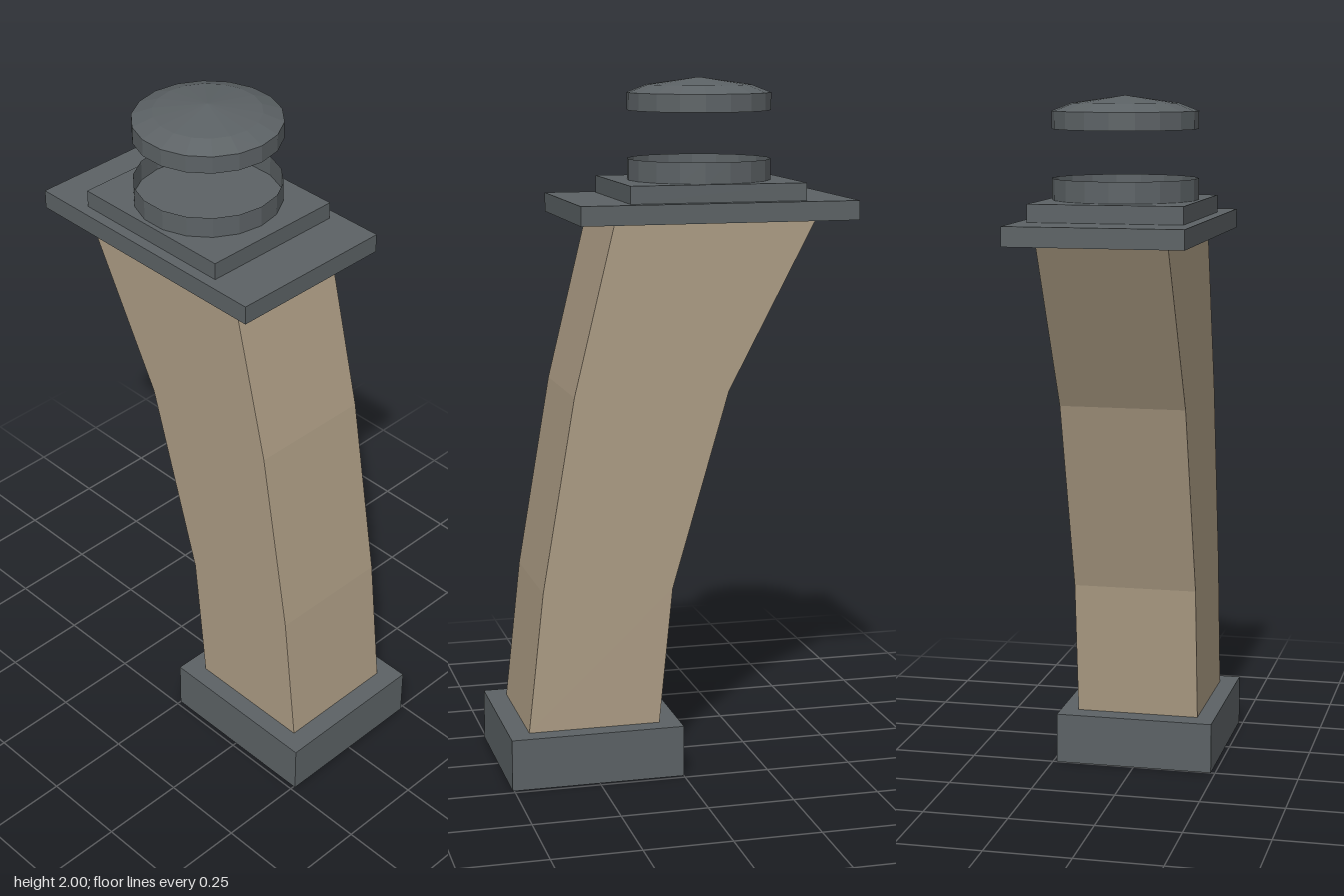
import * as THREE from 'three';

export function createModel() {
  const group = new THREE.Group();
  const metal = new THREE.MeshStandardMaterial({ color: 0x5c6265, flatShading: true });
  const openMetal = new THREE.MeshStandardMaterial({ color: 0x5c6265, flatShading: true, side: THREE.DoubleSide });
  const stone = new THREE.MeshStandardMaterial({ color: 0xac9c84, flatShading: true });

  const add = (name, geometry, material) => {
    const mesh = new THREE.Mesh(geometry, material);
    mesh.name = name;
    group.add(mesh);
    return mesh;
  };
  // Box given by its x range, y range and half depth
  const slab = (name, x0, x1, y0, y1, halfZ) =>
    add(name, new THREE.BoxGeometry(x1 - x0, y1 - y0, halfZ * 2), metal)
      .position.set((x0 + x1) / 2, (y0 + y1) / 2, 0);

  slab('base', 0, 0.505, 0, 0.15, 0.237);
  slab('topPlate', -0.507, 0.297, 1.605, 1.66, 0.25);
  slab('upperPlate', -0.36, 0.15, 1.66, 1.71, 0.218);

  // Leaning column: right and left outline extruded along z
  const outline = [
    [0.06, 0.15], [0.445, 0.15], [0.4, 0.56], [0.305, 1.12], [0.187, 1.605],
    [-0.4, 1.605], [-0.145, 1.12], [0.02, 0.55],
  ].map(([x, y]) => new THREE.Vector2(x, y));
  const column = new THREE.ExtrudeGeometry(new THREE.Shape(outline), { depth: 0.368, bevelEnabled: false });
  column.translate(0, 0, -0.184);
  add('column', column, stone);

  // Round parts share one axis and an 18-sided outline
  const sides = 18, radius = 0.207, axisX = -0.104;
  const collar = add('collar', new THREE.CylinderGeometry(radius, radius, 0.06, sides, 1, true), openMetal);
  collar.rotation.y = Math.PI / 2;
  collar.position.set(axisX, 1.74, 0);

  // Floating lid with a shallow domed top
  const lidProfile = [[0, 1.907], [radius, 1.907], [radius, 1.957], [0.15, 1.979], [0, 2]]
    .map(([r, y]) => new THREE.Vector2(r, y));
  const lid = add('lid', new THREE.LatheGeometry(lidProfile, sides), metal);
  lid.rotation.y = Math.PI / 2;
  lid.position.x = axisX;

  return group;
}
